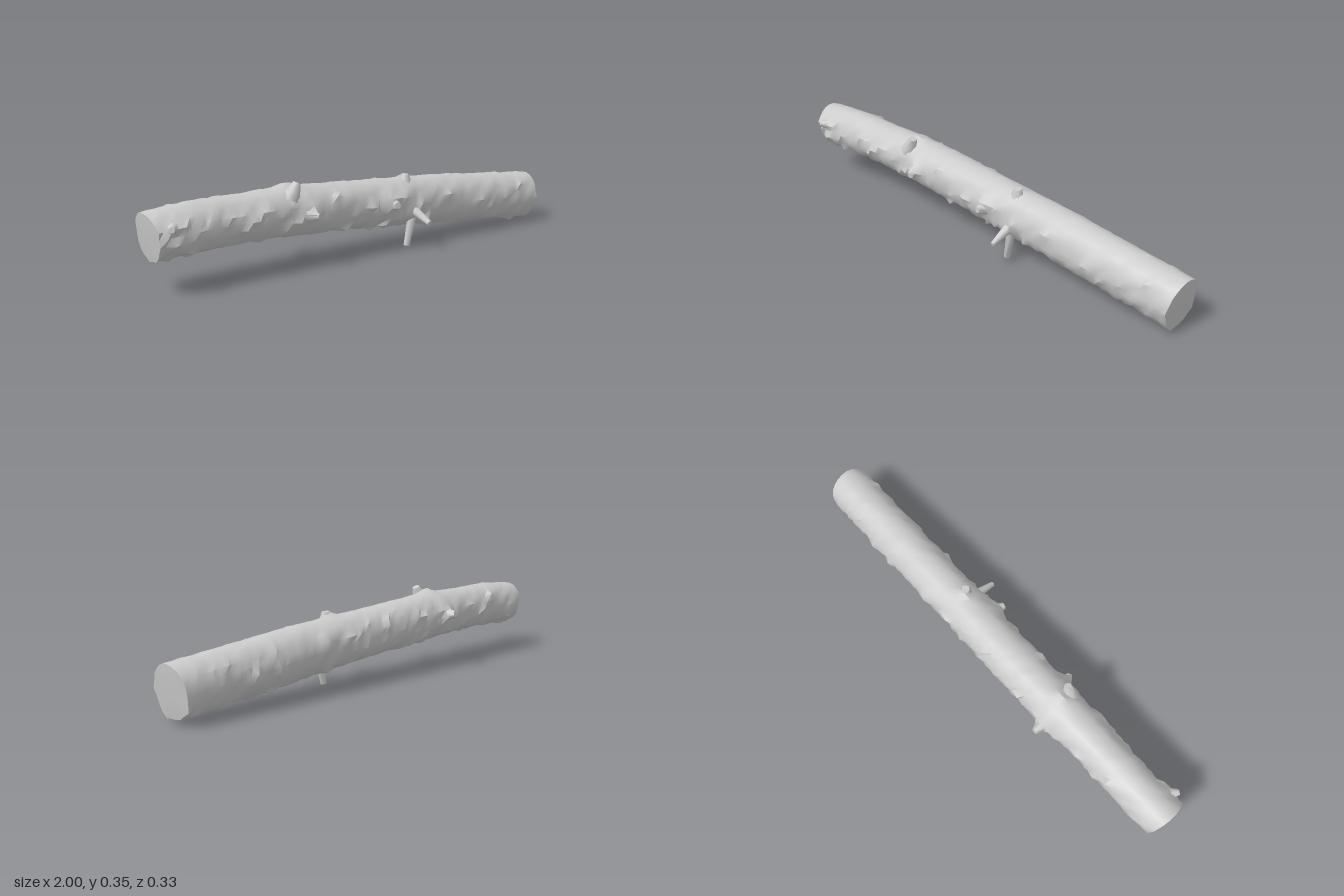
import * as THREE from 'three';
import { toCreasedNormals } from 'three/addons/utils/BufferGeometryUtils.js';

const material = new THREE.MeshStandardMaterial({ color: 0xcccccc });
const RINGS = 72, SIDES = 22;

// Outline stations along the log: x, top y, bottom y, back z, front z
const stations = [
  [-1.0, 0.312, 0.128, -0.098, 0.068], [-0.8, 0.326, 0.136, -0.106, 0.070],
  [-0.6, 0.324, 0.137, -0.106, 0.070], [-0.4, 0.328, 0.127, -0.116, 0.072],
  [-0.2, 0.316, 0.117, -0.118, 0.073], [0.0, 0.303, 0.103, -0.116, 0.074],
  [0.2, 0.292, 0.087, -0.112, 0.078], [0.4, 0.280, 0.070, -0.110, 0.078],
  [0.6, 0.262, 0.052, -0.108, 0.080], [0.8, 0.243, 0.036, -0.105, 0.083],
  [1.0, 0.226, 0.018, -0.103, 0.085],
];

// Knots and bark lumps: x, angle in degrees (0 front, 90 top), height, half length, half angle
const knots = [
  [-0.38, 85, 0.018, 0.05, 28], [-0.33, 5, 0.030, 0.04, 20], [-0.40, 170, 0.022, 0.06, 24],
  [0.21, 78, 0.018, 0.03, 18], [0.09, 8, 0.028, 0.04, 20], [0.17, 25, 0.015, 0.04, 16],
  [0.21, -25, 0.016, 0.04, 18], [-0.93, 20, 0.020, 0.05, 16], [-0.92, -18, 0.018, 0.06, 14],
  [-0.75, 150, 0.022, 0.03, 22], [0.33, 165, 0.016, 0.05, 22], [0.89, -80, 0.010, 0.04, 20],
  [0.70, 195, 0.012, 0.04, 20], [0.62, -5, 0.010, 0.04, 18], [0.45, -60, 0.010, 0.05, 18],
  [-0.15, 240, 0.012, 0.05, 20], [0.30, 230, 0.016, 0.04, 18], [-0.52, 10, 0.012, 0.05, 18],
  [-0.90, 215, 0.012, 0.04, 20],
];

function seeded(seed) {
  return () => {
    seed = (seed * 16807) % 2147483647;
    return seed / 2147483647;
  };
}

function outlineAt(x) {
  const f = THREE.MathUtils.clamp((x + 1) * 5, 0, 9.9999);
  const i = Math.floor(f);
  const [, top, bottom, back, front] = stations[i].map((v, k) => THREE.MathUtils.lerp(v, stations[i + 1][k], f - i));
  return { cy: (top + bottom) / 2, hy: (top - bottom) / 2, cz: (front + back) / 2, hz: (front - back) / 2 };
}

function bump(x, angle) {
  let sum = 0;
  for (const [kx, deg, height, length, spread] of knots) {
    let d = angle - THREE.MathUtils.degToRad(deg);
    d = Math.atan2(Math.sin(d), Math.cos(d)) / THREE.MathUtils.degToRad(spread);
    const u = (x - kx) / length;
    sum += height * Math.exp(-2 * (u * u + d * d));
  }
  return sum;
}

// Trunk skin from oval cross-sections, with slanted, slightly domed cut ends
function trunkGeometry() {
  const random = seeded(41);
  const positions = [], index = [];
  for (let i = 0; i <= RINGS; i++) {
    const x0 = -1 + (2 * i) / RINGS;
    const end = i === 0 || i === RINGS;
    const o = outlineAt(x0);
    for (let j = 0; j < SIDES; j++) {
      const a = (j / SIDES) * Math.PI * 2;
      const x = x0 + (end ? 0 : (random() - 0.5) * 0.018);
      // Bark is rougher on the front and underside than on the top
      const rough = Math.sin(a) > 0.6 ? 0.003 : 0.009;
      const chip = (random() > 0.93 ? 0.010 : 0) * (rough > 0.005 ? 1 : 0.3);
      const r = bump(x, a) + (random() - 0.5) * rough + chip - (end ? 0.002 : 0);
      const s = Math.sin(a), c = Math.cos(a);
      positions.push(
        x * (1 - 0.014 * (1 - s) - (end ? 0.006 * c * c : 0)),
        o.cy + s * (o.hy + r),
        o.cz + c * (o.hz + r),
      );
    }
  }
  for (let i = 0; i < RINGS; i++) {
    for (let j = 0; j < SIDES; j++) {
      const k = (j + 1) % SIDES;
      const a = i * SIDES + j, b = a + SIDES, c = (i + 1) * SIDES + k, d = i * SIDES + k;
      index.push(a, b, c, a, c, d);
    }
  }
  // Cut ends
  for (const [ring, side] of [[0, -1], [RINGS, 1]]) {
    const o = outlineAt(side);
    const centre = positions.length / 3;
    positions.push(side * 0.992, o.cy, o.cz);
    for (let j = 0; j < SIDES; j++) {
      const a = ring * SIDES + j, b = ring * SIDES + ((j + 1) % SIDES);
      if (side > 0) index.push(centre, b, a);
      else index.push(centre, a, b);
    }
  }
  const g = new THREE.BufferGeometry();
  g.setAttribute('position', new THREE.Float32BufferAttribute(positions, 3));
  g.setIndex(index);
  return toCreasedNormals(g, 0.7);
}

// Tapered broken branch between two points
function branch(name, from, to, r0, r1) {
  const a = new THREE.Vector3(...from), b = new THREE.Vector3(...to);
  const dir = b.clone().sub(a);
  const g = new THREE.CylinderGeometry(r1, r0, dir.length(), 7, 2);
  const mesh = new THREE.Mesh(toCreasedNormals(g, 0.9), material);
  mesh.name = name;
  mesh.position.copy(a).add(b).multiplyScalar(0.5);
  mesh.quaternion.setFromUnitVectors(new THREE.Vector3(0, 1, 0), dir.normalize());
  return mesh;
}

export function createModel() {
  const log = new THREE.Group();
  log.name = 'log';
  const trunk = new THREE.Mesh(trunkGeometry(), material);
  trunk.name = 'trunk';
  log.add(
    trunk,
    branch('lowerTwig', [0.222, 0.16, 0.055], [0.192, 0.008, 0.048], 0.021, 0.013),
    branch('frontTwig', [0.215, 0.165, 0.05], [0.218, 0.120, 0.160], 0.023, 0.011),
    branch('backStub', [-0.40, 0.232, -0.08], [-0.402, 0.243, -0.161], 0.042, 0.013),
    branch('topStub', [-0.40, 0.28, 0.03], [-0.37, 0.346, 0.035], 0.040, 0.016),
    branch('topKnot', [0.21, 0.26, 0.01], [0.212, 0.308, 0.012], 0.034, 0.017),
    branch('frontKnot', [-0.34, 0.22, 0.05], [-0.315, 0.215, 0.106], 0.036, 0.012),
    branch('sideKnot', [0.10, 0.20, 0.05], [0.085, 0.205, 0.110], 0.036, 0.014),
    branch('endKnot', [-0.91, 0.25, 0.04], [-0.945, 0.258, 0.092], 0.032, 0.012),
  );
  return log;
}
